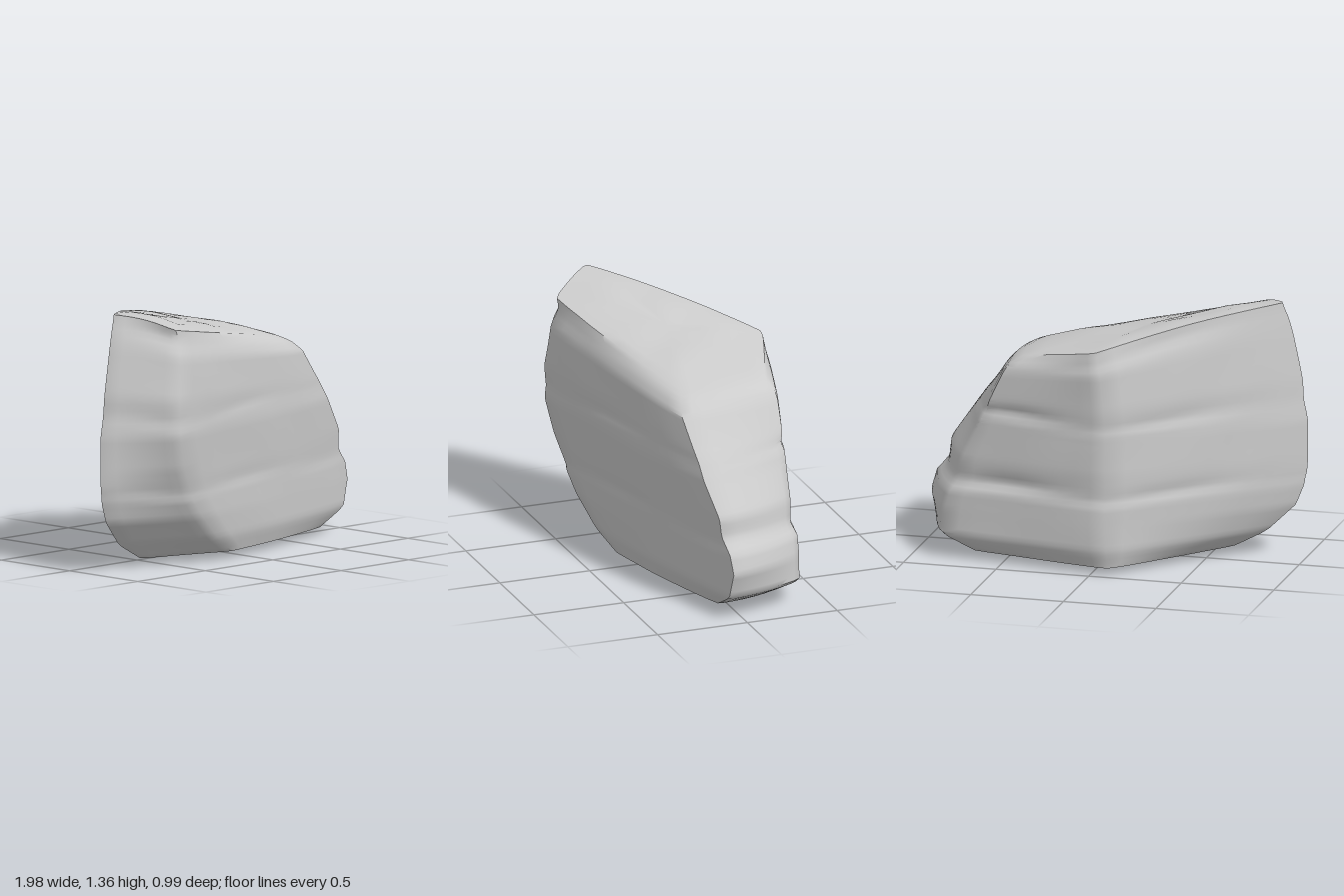
import * as THREE from 'three';
import { toCreasedNormals } from 'three/addons/utils/BufferGeometryUtils.js';

// Cross-sections: height, then x,z of five corners going round:
// left, front left, front right, back right, back
const SECTIONS = [
  [0.04, -0.63, 0.14, -0.12, 0.31, 0.78, 0.08, 0.66, -0.31, -0.10, -0.475],
  [0.13, -0.80, 0.15, -0.28, 0.37, 0.95, 0.08, 0.83, -0.36, -0.10, -0.50],
  [0.27, -0.95, 0.20, -0.45, 0.42, 1.00, 0.07, 0.81, -0.36, -0.09, -0.50],
  [0.37, -0.99, 0.21, -0.54, 0.44, 0.97, 0.08, 0.78, -0.36, -0.09, -0.50],
  [0.45, -1.01, 0.22, -0.58, 0.45, 0.90, 0.10, 0.74, -0.34, -0.09, -0.495],
  [0.55, -1.01, 0.22, -0.64, 0.47, 0.89, 0.11, 0.72, -0.35, -0.09, -0.50],
  [0.72, -1.01, 0.22, -0.69, 0.495, 0.77, 0.15, 0.64, -0.36, -0.09, -0.495],
  [0.90, -0.98, 0.22, -0.70, 0.495, 0.65, 0.17, 0.57, -0.36, -0.08, -0.50],
  [1.08, -0.93, 0.21, -0.67, 0.47, 0.54, 0.19, 0.50, -0.36, -0.06, -0.50],
  [1.16, -0.90, 0.20, -0.65, 0.44, 0.47, 0.17, 0.46, -0.35, -0.04, -0.48],
  [1.20, -0.88, 0.19, -0.67, 0.44, 0.40, 0.14, 0.40, -0.33, -0.03, -0.47],
];
const TOP = [1.36, 1.28, 1.10, 1.12, 1.20];            // rim height at each corner
const RIM_ARCH = [0.015, 0, 0, 0, 0.02];               // rim rise along each face
const BELLY = [0, 0.016, 0.025, 0.005, 0.005];         // outward swell of each face
const LEDGE_DEPTH = [0.015, 0.02, 0.015, 0.045, 0.04]; // ledge cut on each face
const LEDGES = [0.41, 0.8, 1.15];
const PER_FACE = 10, AROUND = PER_FACE * 5, UP = 46, RINGS = 6;
const mix = THREE.MathUtils.lerp;

// Gentle weathering
const wobble = (x, y, z) =>
  Math.sin(x * 7 + y * 5) * Math.sin(z * 8 - y * 9 + 1) + 0.6 * Math.sin(x * 15 - z * 11 + y * 13);

function sectionAt(y) {
  let k = 0;
  while (k < SECTIONS.length - 2 && SECTIONS[k + 1][0] < y) k++;
  const a = SECTIONS[k], b = SECTIONS[k + 1];
  const t = (y - a[0]) / (b[0] - a[0]);
  return a.map((v, i) => mix(v, b[i], t));
}

function ringAt(level) {
  const s = sectionAt(level), raw = [];
  for (let i = 0; i < AROUND; i++) {
    const c = Math.floor(i / PER_FACE), d = (c + 1) % 5, t = (i % PER_FACE) / PER_FACE;
    const ax = s[1 + c * 2], az = s[2 + c * 2], bx = s[1 + d * 2], bz = s[2 + d * 2];
    const length = Math.hypot(bx - ax, bz - az), arch = Math.sin(Math.PI * t);
    const swell = BELLY[c] * arch / length;
    const x = mix(ax, bx, t) - (bz - az) * swell;
    const z = mix(az, bz, t) + (bx - ax) * swell;
    // Upper layers tilt to meet the sloping top
    const rim = mix(TOP[c], TOP[d], t) + RIM_ARCH[c] * arch;
    const y = level > 0.8 ? 0.8 + (level - 0.8) * (rim - 0.8) / 0.4 : level;
    // Narrow grooves between rock layers, fading along each face
    let cut = 0;
    for (const h of LEDGES) {
      const e = (level - h - 0.015 * Math.sin(x * 6 + z * 4)) / (level < h ? 0.018 : 0.05);
      cut += Math.exp(-e * e);
    }
    cut *= LEDGE_DEPTH[c] * (0.65 + 0.35 * Math.sin(x * 8 + level * 17 + c));
    const dent = cut - 0.007 * wobble(x, y, z);
    raw.push(new THREE.Vector3(x * (1 - dent * 0.5), y, z * (1 - dent)));
  }
  // Slightly worn vertical corners
  return raw.map((p, i) => p.clone().multiplyScalar(0.8)
    .addScaledVector(raw[(i + 1) % AROUND], 0.1)
    .addScaledVector(raw[(i + AROUND - 1) % AROUND], 0.1));
}

// Rings shrinking from a rim to a centre point, for the top and the base
function capRings(rim, centre, bulge) {
  const rings = [];
  for (let r = 1; r <= RINGS; r++) {
    const t = r / RINGS;
    rings.push(rim.map((p) => {
      const q = p.clone().lerp(centre, t);
      q.y += bulge * Math.sin(Math.PI * t) + 0.02 * t * (1 - t) * wobble(q.x, 0, q.z);
      return q;
    }));
  }
  return rings;
}

function rockGeometry() {
  const sides = [];
  for (let j = 0; j <= UP; j++) sides.push(ringAt(mix(0.04, 1.2, j / UP)));
  const base = capRings(sides[0], new THREE.Vector3(0.22, 0.002, -0.1), -0.006);
  const top = capRings(sides[UP], new THREE.Vector3(-0.18, 1.24, 0), 0.012);
  const rows = [...base.reverse(), ...sides, ...top];

  const positions = [], index = [];
  rows.forEach((row) => row.forEach((p) => positions.push(p.x, p.y, p.z)));
  const last = rows.length - 2;
  for (let j = 0; j <= last; j++) {
    for (let i = 0; i < AROUND; i++) {
      const a = j * AROUND + i, b = j * AROUND + (i + 1) % AROUND;
      const c = b + AROUND, d = a + AROUND;
      // The centre rows close to a point, so they need one triangle per step
      if (j > 0) index.push(a, b, c);
      if (j < last) index.push(a, c, d);
    }
  }
  const geometry = new THREE.BufferGeometry();
  geometry.setAttribute('position', new THREE.Float32BufferAttribute(positions, 3));
  geometry.setIndex(index);

  // Centre on the ground
  geometry.computeBoundingBox();
  const { min, max } = geometry.boundingBox;
  geometry.translate(-(min.x + max.x) / 2, -min.y, -(min.z + max.z) / 2);
  return toCreasedNormals(geometry, 0.8);
}

export function createModel() {
  const group = new THREE.Group();
  group.name = 'rock';
  const stone = new THREE.MeshStandardMaterial({ color: 0xcccccc });
  stone.name = 'grey stone';
  const boulder = new THREE.Mesh(rockGeometry(), stone);
  boulder.name = 'boulder';
  group.add(boulder);
  return group;
}
